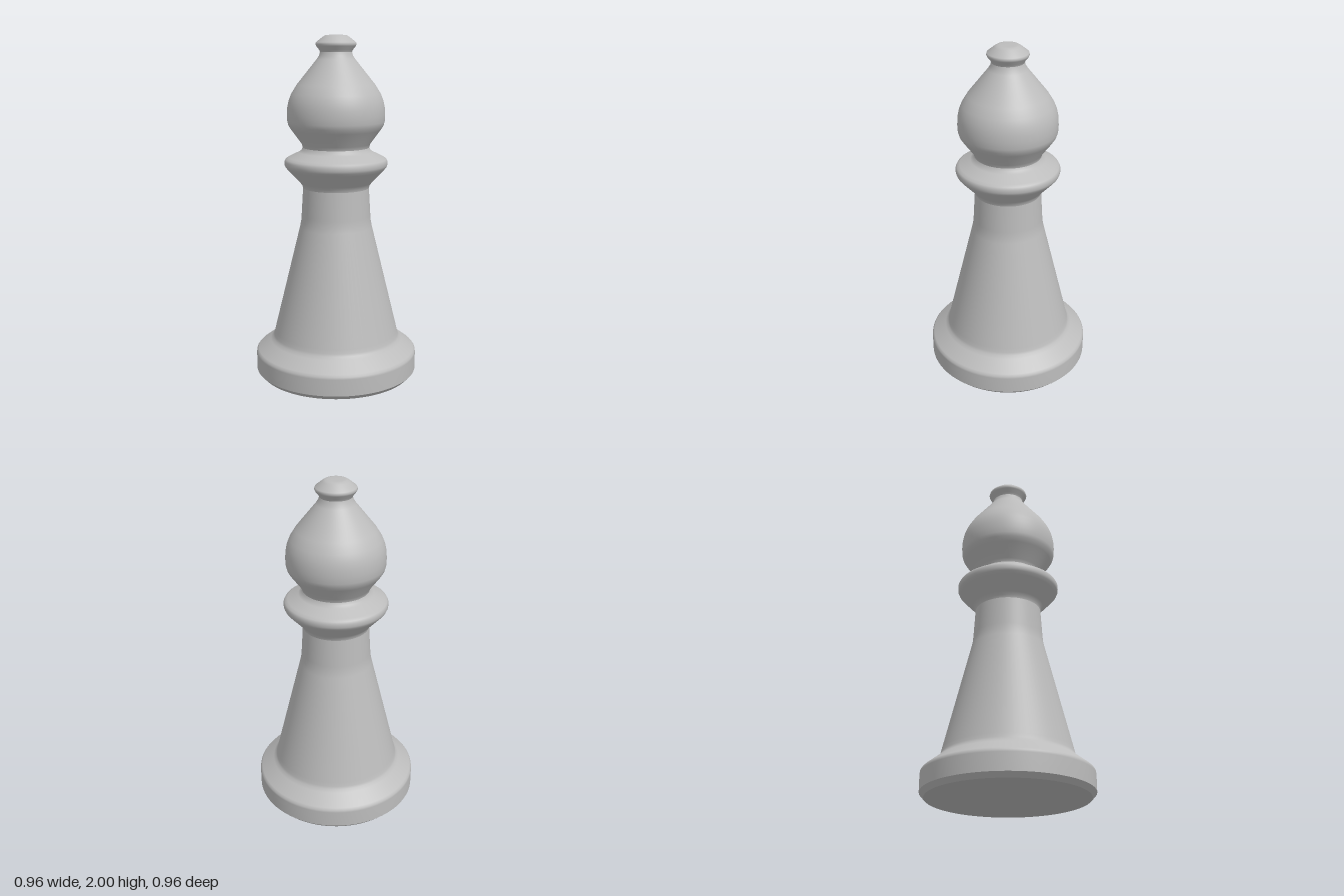
import * as THREE from 'three';

export function createModel() {
  const group = new THREE.Group();
  const grey = new THREE.MeshStandardMaterial({ color: 0xbcbcbc });
  grey.name = 'plain grey';

  // Each turned part is a [radius, height] profile listed from bottom to top
  const turn = (name, profile) => {
    const points = profile.map(([r, y]) => new THREE.Vector2(r, y));
    const mesh = new THREE.Mesh(new THREE.LatheGeometry(points, 72), grey);
    mesh.name = name;
    group.add(mesh);
  };

  // Foot: flat underside, chamfer, then the rounded plinth
  turn('underside', [[0, 0], [0.455, 0]]);
  turn('footChamfer', [[0.455, 0], [0.48, 0.027]]);
  turn('base', [
    [0.48, 0.027], [0.48, 0.125], [0.478, 0.138], [0.468, 0.15],
    [0.395, 0.205], [0.38, 0.22], [0.373, 0.235], [0.367, 0.26],
  ]);

  // Tapering stem with a straighter neck
  turn('stem', [[0.367, 0.26], [0.213, 0.89], [0.206, 0.925], [0.203, 0.96], [0.193, 1.125]]);

  // Flared collar
  turn('collar', [
    [0.193, 1.125], [0.197, 1.14], [0.21, 1.157], [0.28, 1.232], [0.294, 1.248],
    [0.3, 1.262], [0.3, 1.282], [0.293, 1.295], [0.277, 1.305], [0.215, 1.335],
    [0.2, 1.347], [0.193, 1.362],
  ]);

  // Bulbous head
  turn('head', [
    [0.193, 1.362], [0.199, 1.383], [0.258, 1.463], [0.274, 1.488], [0.281, 1.512],
    [0.283, 1.55], [0.281, 1.59], [0.273, 1.63], [0.257, 1.67], [0.225, 1.722],
    [0.11, 1.865], [0.097, 1.885], [0.091, 1.905],
  ]);

  // Button on the tip
  turn('finial', [
    [0.091, 1.905], [0.096, 1.917], [0.113, 1.938], [0.117, 1.948], [0.114, 1.959],
    [0.075, 1.99], [0.062, 1.998], [0.045, 2], [0, 2],
  ]);

  return group;
}
